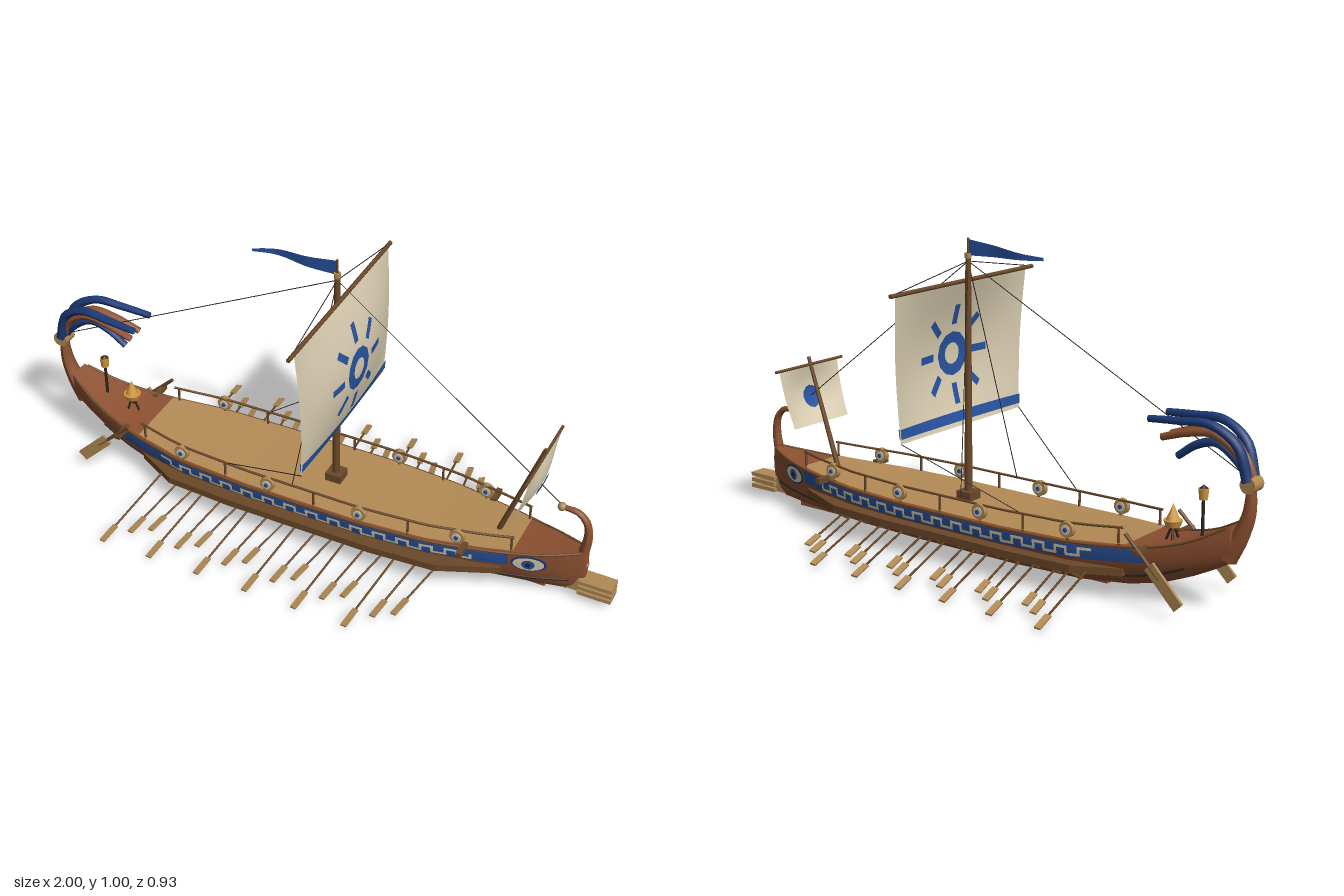
import * as THREE from 'three';

const mat = (name, color, side = THREE.FrontSide) => {
  const m = new THREE.MeshStandardMaterial({ color, side });
  m.name = name;
  return m;
};
const V = (x, y, z) => new THREE.Vector3(x, y, z);

// Hull stations: x, bottom y, sheer y, half width
const STATIONS = [
  [-0.93, 0.16, 0.275, 0.036], [-0.87, 0.125, 0.238, 0.058], [-0.8, 0.09, 0.207, 0.078],
  [-0.7, 0.05, 0.18, 0.104], [-0.6, 0.027, 0.169, 0.125], [-0.45, 0.01, 0.16, 0.153],
  [-0.2, 0.005, 0.155, 0.164], [0.2, 0.005, 0.155, 0.164], [0.42, 0.007, 0.157, 0.148],
  [0.6, 0.009, 0.161, 0.113], [0.75, 0.013, 0.169, 0.075], [0.85, 0.02, 0.181, 0.04], [0.9, 0.035, 0.19, 0.014],
];
function station(x) {
  let i = 0;
  while (i < STATIONS.length - 2 && x > STATIONS[i + 1][0]) i++;
  const a = STATIONS[i], b = STATIONS[i + 1];
  const t = THREE.MathUtils.clamp((x - a[0]) / (b[0] - a[0]), 0, 1);
  const [bottom, top, w] = [1, 2, 3].map(k => a[k] + (b[k] - a[k]) * t);
  return { bottom, top, w };
}
// Half breadth of the hull at a given height
function sideZ(x, y) {
  const s = station(x);
  const c = THREE.MathUtils.clamp(1 - (y - s.bottom) / (s.top - s.bottom), 0, 1);
  return s.w * Math.pow(1 - c * c, 0.4);
}
// Move every vertex of a geometry by a rule
function warp(geo, rule) {
  const p = geo.attributes.position;
  for (let i = 0; i < p.count; i++) {
    const v = rule(p.getX(i), p.getY(i), p.getZ(i), i);
    p.setXYZ(i, v.x, v.y, v.z);
  }
  geo.computeVertexNormals();
  return geo;
}

export function createModel() {
  const root = new THREE.Group();
  root.name = 'galley';
  const D = THREE.DoubleSide;
  const hullWood = mat('hull red brown', 0x8c5030, D), darkWood = mat('dark wood', 0x6b4828);
  const deckWood = mat('deck tan', 0xb48b56, D), paleWood = mat('pale wood', 0xb08a55);
  const cloth = mat('sail cloth', 0xd8ccb0, D), blue = mat('blue paint', 0x27519c, D);
  const navy = mat('navy', 0x1c3a78, D), gold = mat('gold', 0xd2983f);
  const black = mat('rope black', 0x2b2420, D);

  const add = (name, geo, m, x = 0, y = 0, z = 0) => {
    const mesh = new THREE.Mesh(geo, m);
    mesh.name = name;
    mesh.position.set(x, y, z);
    root.add(mesh);
    return mesh;
  };
  const along = (mesh, a, b) => {
    mesh.position.copy(a).lerp(b, 0.5);
    mesh.quaternion.setFromUnitVectors(V(0, 1, 0), b.clone().sub(a).normalize());
    return mesh;
  };
  const rod = (name, a, b, r, m, r2 = r, sides = 8) =>
    along(add(name, new THREE.CylinderGeometry(r2, r, a.distanceTo(b), sides), m), a, b);
  const plank = (name, a, b, w, t, m) => along(add(name, new THREE.BoxGeometry(w, a.distanceTo(b), t), m), a, b);
  const tube = (name, pts, r0, r1, m, n = 20) => {
    const curve = new THREE.CatmullRomCurve3(pts);
    const geo = warp(new THREE.TubeGeometry(curve, n, 1, 8), (x, y, z, i) => {
      const t = Math.floor(i / 9) / n, c = curve.getPointAt(t);
      return c.clone().add(V(x, y, z).sub(c).multiplyScalar(r0 + (r1 - r0) * t));
    });
    return add(name, geo, m);
  };
  // Painted patch laid on both hull sides; geometry is given in x and y
  const paint = (name, make, m, off) => {
    for (const s of [1, -1]) add(name, warp(make(), (x, y) => V(x, y, s * (sideZ(x, y) + off))), m);
  };

  // Hull shell, end caps and top covering
  add('hull', warp(new THREE.PlaneGeometry(1, 1, 60, 24), (u, v) => {
    const x = -0.015 + u * 1.83, s = station(x), a = v * Math.PI;
    return V(x, s.bottom + (s.top - s.bottom) * (1 - Math.cos(a)),
      -Math.sign(a) * s.w * Math.pow(Math.abs(Math.sin(a)), 0.8));
  }), hullWood);
  const lid = (x0, x1, inset, lift) => warp(new THREE.PlaneGeometry(1, 1, 40, 2), (u, v) => {
    const x = x0 + (u + 0.5) * (x1 - x0), s = station(x);
    return V(x, s.top + lift, -v * 2 * (s.w - inset));
  });
  add('hullTop', lid(-0.93, 0.9, 0, 0), hullWood);
  add('deck', lid(-0.63, 0.69, 0.006, 0.007), deckWood);
  add('sternBoard', warp(new THREE.PlaneGeometry(1, 1, 8, 10), (u, v) => {
    const y = 0.16 + (v + 0.5) * 0.115;
    return V(-0.93, y, u * 2 * sideZ(-0.93, y));
  }), hullWood);
  add('keel', new THREE.BoxGeometry(1.28, 0.014, 0.024), hullWood, 0.14, 0.007, 0);

  // Gunwales and wales following the hull
  const sweep = (name, x0, x1, yOf, zOf, r, m) => {
    for (const s of [1, -1]) {
      const pts = [];
      for (let i = 0; i <= 20; i++) {
        const x = x0 + (x1 - x0) * i / 20;
        pts.push(V(x, yOf(x), s * zOf(x, yOf(x))));
      }
      tube(name, pts, r, r, m, 40);
    }
  };
  sweep('gunwale', -0.92, 0.89, x => station(x).top, sideZ, 0.004, darkWood);
  sweep('wale', -0.8, 0.86, x => station(x).bottom * 0.68 + station(x).top * 0.32, sideZ, 0.004, black);

  // Painted band with a stepped border
  const bandY = x => station(x).top - 0.025;
  const onBand = (x0, x1, lo, hi) => () => warp(new THREE.PlaneGeometry(x1 - x0, 1, Math.ceil((x1 - x0) / 0.02), 3),
    (x, v) => V(x + (x0 + x1) / 2, bandY(x + (x0 + x1) / 2) + lo + (v + 0.5) * (hi - lo), 0));
  paint('blueBand', onBand(-0.69, 0.68, -0.023, 0.02), blue, 0.003);
  for (let i = 0; i < 14; i++) {
    const x = -0.53 + i * 0.078;
    paint('borderHigh', onBand(x, x + 0.046, 0.005, 0.014), cloth, 0.006);
    paint('borderStep', onBand(x + 0.037, x + 0.046, -0.008, 0.005), cloth, 0.006);
    paint('borderLow', onBand(x + 0.037, x + 0.087, -0.017, -0.008), cloth, 0.006);
    paint('borderRise', onBand(x + 0.078, x + 0.087, -0.008, 0.005), cloth, 0.006);
  }

  // Bow eyes
  const disc = (rx, ry) => () => warp(new THREE.CircleGeometry(1, 24), (x, y) => V(0.742 + x * rx, 0.133 + y * ry, 0));
  [[0.054, 0.033, navy], [0.047, 0.027, cloth], [0.02, 0.019, blue], [0.009, 0.009, black]]
    .forEach(([rx, ry, m], i) => paint('eye', disc(rx, ry), m, 0.004 + i * 0.002));

  // Outrigger shelf with brackets
  const outline = [[-0.62, 0.11], [-0.48, 0.182], [-0.25, 0.195], [0.25, 0.195], [0.47, 0.18], [0.66, 0.1]];
  const shelf = new THREE.Shape([...outline, ...outline.slice().reverse().map(([x, z]) => [x, -z])]
    .map(([x, z]) => new THREE.Vector2(x, z)));
  add('outrigger', new THREE.ExtrudeGeometry(shelf, { depth: 0.024, bevelEnabled: false }), darkWood, 0, 0.101, 0)
    .rotation.x = Math.PI / 2;
  for (const s of [1, -1]) {
    for (let i = 0; i < 13; i++) {
      const x = -0.48 + i * 0.078;
      plank('bracket', V(x, 0.045, s * 0.12), V(x, 0.082, s * 0.18), 0.01, 0.01, darkWood);
    }
    // Oars in three tiers
    [[-0.57, 0.462, 0.012, 0.088], [-0.505, 0.395, 0.022, 0.075], [-0.45, 0.36, 0.024, 0.062]].forEach(([x0, z, y, yIn]) => {
      for (let i = 0; i < 6; i++) {
        const tip = V(x0 + i * 0.173, y, s * z), inner = V(tip.x + 0.05, yIn, s * 0.14);
        const neck = tip.clone().lerp(inner, 0.07 / tip.distanceTo(inner));
        rod('oarShaft', inner, neck, 0.0035, darkWood, 0.0035, 6);
        plank('oarBlade', neck, tip, 0.02, 0.006, paleWood);
      }
    });
    // Steering oars
    rod('steeringShaft', V(-0.65, 0.225, s * 0.145), V(-0.77, 0.11, s * 0.148), 0.006, darkWood);
    plank('steeringBlade', V(-0.735, 0.145, s * 0.148), V(-0.838, 0.042, s * 0.15), 0.038, 0.009, paleWood);
    // Beam ends at stern and bow
    add('steeringBeam', new THREE.BoxGeometry(0.018, 0.014, 0.07), darkWood, -0.69, 0.176, s * 0.122);
    add('catBeam', new THREE.BoxGeometry(0.018, 0.018, 0.06), darkWood, 0.545, 0.165, s * 0.142);
    // Rail posts and round shields
    for (let i = 0; i < 9; i++) {
      const x = -0.605 + i * 0.161, st = station(x), z = s * (st.w - 0.012);
      rod('railPost', V(x, st.top, z), V(x, st.top + 0.058, z), 0.004, darkWood, 0.004, 6);
    }
    for (const x of [-0.445, -0.123, 0.2, 0.52]) {
      const z = station(x).w - 0.008, y = station(x).top + 0.036;
      [[0.025, 0.008, paleWood], [0.015, 0.011, cloth], [0.007, 0.015, blue]].forEach(([r, d, m]) =>
        rod('shield', V(x, y, s * (z - d)), V(x, y, s * (z + d)), r, m, r, 16));
    }
  }
  sweep('topRail', -0.62, 0.69, x => station(x).top + 0.056, x => station(x).w - 0.012, 0.004, darkWood);

  // Ram
  add('ramCore', new THREE.BoxGeometry(0.13, 0.05, 0.035), paleWood, 0.9, 0.055, 0);
  [0.035, 0.056, 0.077].forEach(y => add('ramProng', new THREE.BoxGeometry(0.11, 0.013, 0.06), paleWood, 0.945, y, 0));
  // Stem and stern posts
  tube('stemFoot', [V(0.84, 0.03, 0), V(0.88, 0.06, 0), V(0.893, 0.12, 0), V(0.89, 0.2, 0)], 0.016, 0.016, hullWood);
  tube('stemPost', [V(0.885, 0.16, 0), V(0.898, 0.24, 0), V(0.89, 0.295, 0), V(0.86, 0.327, 0), V(0.81, 0.332, 0)],
    0.018, 0.008, hullWood);
  add('stemKnob', new THREE.SphereGeometry(0.014, 12, 8), paleWood, 0.806, 0.332, 0);
  add('bowBoss', new THREE.SphereGeometry(0.012, 12, 8), paleWood, 0.9, 0.135, 0);
  tube('sternPost', [V(-0.905, 0.17, 0), V(-0.945, 0.24, 0), V(-0.97, 0.31, 0), V(-0.976, 0.4, 0)], 0.034, 0.014, hullWood);
  rod('sternDisc', V(-0.975, 0.4, -0.026), V(-0.975, 0.4, 0.026), 0.025, paleWood, 0.025, 18);
  // Fan of stern plumes
  const plume = (x, y, peak, z, m) => tube('sternPlume', [V(-0.972, 0.41, z * 0.4), V(-0.94, peak - 0.05, z * 0.55),
    V(-0.86, peak, z * 0.75), V((x - 0.86) / 2, peak - (peak - y) * 0.25, z * 0.9), V(x, y, z)], 0.017, 0.011, m);
  for (const s of [1, -1]) {
    plume(-0.66, 0.55, 0.56, s * 0.05, navy);
    plume(-0.69, 0.495, 0.53, s * 0.026, hullWood);
  }
  plume(-0.73, 0.44, 0.5, 0, navy);

  // Stern lantern and brazier
  rod('lanternPole', V(-0.82, 0.2, 0), V(-0.82, 0.325, 0), 0.005, black);
  add('lantern', new THREE.CylinderGeometry(0.016, 0.013, 0.034, 8), gold, -0.82, 0.342, 0);
  add('lanternCap', new THREE.ConeGeometry(0.014, 0.012, 8), black, -0.82, 0.364, 0);
  for (let i = 0; i < 3; i++) {
    const a = i * Math.PI * 2 / 3;
    rod('brazierLeg', V(-0.72 + 0.022 * Math.cos(a), 0.18, 0.022 * Math.sin(a)), V(-0.72, 0.235, 0), 0.004, black);
  }
  add('brazierBowl', new THREE.CylinderGeometry(0.029, 0.022, 0.02, 12), gold, -0.72, 0.234, 0);
  add('brazierFlame', new THREE.ConeGeometry(0.022, 0.052, 10), gold, -0.72, 0.269, 0);

  // Mast, yard and pennant staff
  add('mastStep', new THREE.BoxGeometry(0.055, 0.03, 0.055), darkWood, 0.045, 0.175, 0);
  rod('mast', V(0.045, 0.16, 0), V(0.045, 0.945, 0), 0.013, darkWood, 0.009, 12);
  rod('mastCap', V(0.045, 0.938, 0), V(0.045, 0.954, 0), 0.011, paleWood);
  rod('pennantStaff', V(0.045, 0.95, 0), V(0.045, 1, 0), 0.004, darkWood);
  rod('yard', V(0.06, 0.865, -0.35), V(0.06, 0.865, 0.35), 0.007, darkWood);
  add('pennant', warp(new THREE.PlaneGeometry(1, 1, 16, 1), (u, v) => {
    const t = u + 0.5;
    return V(0.043 - t * 0.28, 0.971 - t * 0.011 + v * (0.05 - 0.04 * t), 0.014 * t * Math.sin(t * 7));
  }), blue);

  // Billowing sails: cloth and painted emblems share one surface rule
  const makeSail = (name, y0, y1, w0, w1, x0, x1, belly) => {
    const xAt = (z, y) => {
      const t = (y - y0) / (y1 - y0), u = z / (w0 + (w1 - w0) * t);
      return x0 + (x1 - x0) * t + belly * Math.sin(Math.PI * t) * (1 - 0.8 * u * u);
    };
    const sheet = (part, lo, hi, m, off) => add(part, warp(new THREE.PlaneGeometry(1, 1, 20, 16), (u, v) => {
      const y = lo + (v + 0.5) * (hi - lo), z = -u * 2 * (w0 + (w1 - w0) * (y - y0) / (y1 - y0));
      return V(xAt(z, y) + off, y, z);
    }), m);
    sheet(name, y0, y1, cloth, 0);
    return {
      sheet,
      emblem: (part, make, m) => [0.005, -0.005].forEach(off =>
        add(part, warp(make(), (z, y) => V(xAt(z, y) + off, y, z)), m)),
    };
  };
  const main = makeSail('mainSail', 0.4, 0.86, 0.297, 0.322, 0.07, 0.065, 0.05);
  main.sheet('sailStripe', 0.415, 0.446, blue, 0.004);
  main.sheet('sailStripe', 0.415, 0.446, blue, -0.004);
  main.emblem('sunRing', () => new THREE.RingGeometry(0.035, 0.071, 12, 3).translate(0, 0.628, 0), blue);
  for (let i = 0; i < 8; i++) {
    main.emblem('sunRay', () => new THREE.PlaneGeometry(0.065, 0.024, 5, 2).translate(0.127, 0, 0)
      .rotateZ(i * Math.PI / 4).translate(0, 0.628, 0), blue);
  }

  rod('foreMast', V(0.612, 0.165, 0), V(0.738, 0.53, 0), 0.009, darkWood, 0.006);
  rod('foreYard', V(0.735, 0.503, -0.16), V(0.735, 0.503, 0.16), 0.005, darkWood);
  const fore = makeSail('foreSail', 0.31, 0.497, 0.13, 0.14, 0.683, 0.738, 0.028);
  fore.emblem('foreSailDisc', () => new THREE.RingGeometry(0.001, 0.037, 12, 3).translate(0, 0.395, 0), blue);

  // Rigging
  const rope = (a, b) => rod('rope', a, b, 0.0015, black, 0.0015, 5);
  const head = V(0.045, 0.928, 0);
  rope(head, V(0.81, 0.335, 0));
  rope(head, V(-0.955, 0.42, 0));
  for (const s of [1, -1]) {
    rope(head, V(0.06, 0.868, s * 0.335));
    rope(head, V(-0.04, 0.21, s * 0.145));
    rope(V(0.07, 0.4, s * 0.296), V(-0.28, 0.21, s * 0.145));
  }
  return root;
}
